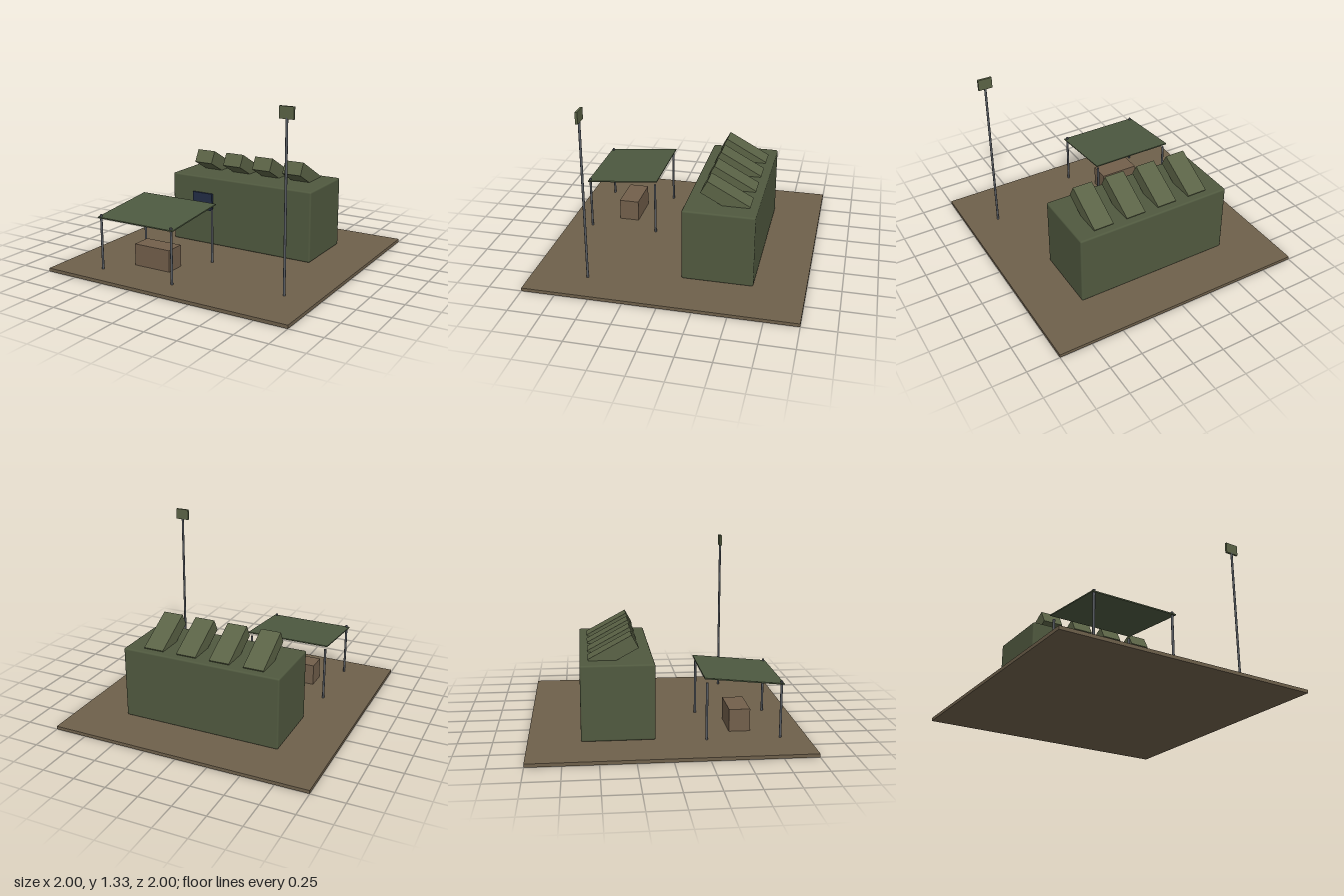
import * as THREE from 'three';
import { RoundedBoxGeometry } from 'three/addons/geometries/RoundedBoxGeometry.js';

const material = (name, color) => {
  const m = new THREE.MeshStandardMaterial({ color });
  m.name = name;
  return m;
};

export function createModel() {
  const earth = material('earth brown', 0x6e604b);
  const wood = material('crate brown', 0x725f4b);
  const green = material('shelter green', 0x50593f);
  const olive = material('light olive', 0x5b6346);
  const canvas = material('canvas green', 0x4d5940);
  const steel = material('steel grey', 0x565a60);
  const navy = material('dark blue', 0x222c45);

  const model = new THREE.Group();
  model.name = 'fieldStation';
  const add = (name, geometry, mat, x, y, z, tilt = 0) => {
    const mesh = new THREE.Mesh(geometry, mat);
    mesh.name = name;
    mesh.position.set(x, y, z);
    mesh.rotation.x = tilt;
    model.add(mesh);
  };
  const box = (w, h, d) => new THREE.BoxGeometry(w, h, d);
  const ground = 0.025;
  const pole = (name, x, z, top, radius) =>
    add(name, new THREE.CylinderGeometry(radius, radius, top - ground, 12), steel, x, (top + ground) / 2, z);

  add('groundSlab', box(2, ground, 2), earth, 0, ground / 2, 0);

  // Shelter with softened edges and a window on the front wall
  add('shelter', new RoundedBoxGeometry(1.24, 0.555, 0.53, 2, 0.013), green, 0, 0.3025, -0.357);
  add('window', box(0.18, 0.14, 0.016), navy, -0.333, 0.38, -0.084);

  // Row of tilted boxes on the roof
  for (let i = 0; i < 4; i++) {
    add('roofBox' + (i + 1), box(0.156, 0.107, 0.358), olive, -0.4 + i * 0.2667, 0.628, -0.382, -0.498);
  }

  // Sloping canopy on four poles, with a crate beneath
  add('canopy', box(0.665, 0.009, 0.573), canvas, -0.333, 0.453, 0.535, 0.0975);
  for (const x of [-0.645, -0.022]) {
    for (const z of [0.27, 0.804]) pole('canopyPole', x, z, 0.446, 0.009);
  }
  add('crate', box(0.31, 0.167, 0.156), wood, -0.335, 0.1085, 0.536);

  // Mast with a panel at its top
  pole('mast', 0.755, 0.58, 1.26, 0.009);
  add('mastPanel', box(0.108, 0.085, 0.018), olive, 0.755, 1.292, 0.579);

  return model;
}
